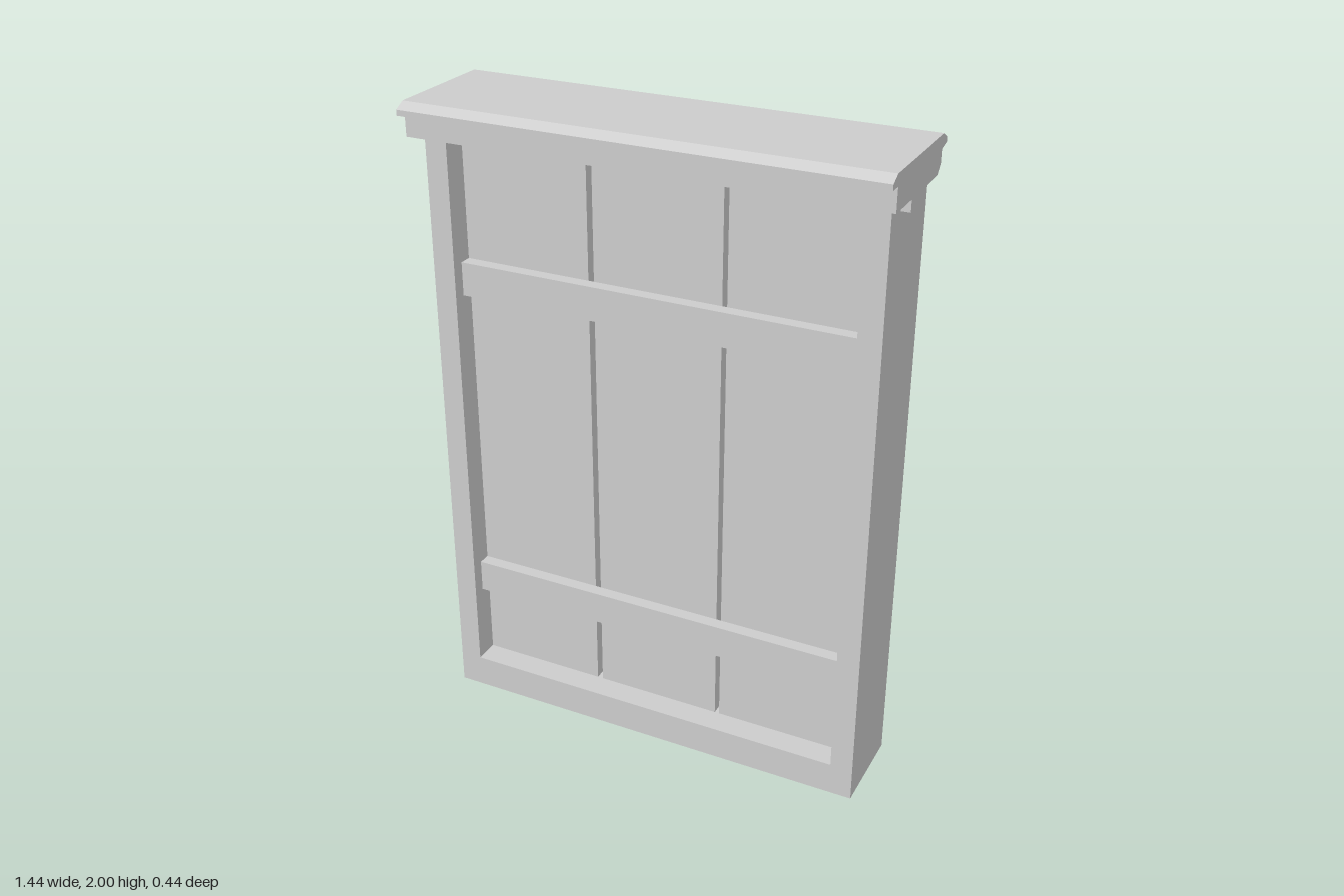
import * as THREE from 'three';

const material = new THREE.MeshStandardMaterial({ color: 0xcccccc, flatShading: true });

function add(parent, name, geometry) {
  const mesh = new THREE.Mesh(geometry, material);
  mesh.name = name;
  parent.add(mesh);
  return mesh;
}

// Box given by its limits on each axis
function box(x0, x1, y0, y1, z0, z1) {
  return new THREE.BoxGeometry(x1 - x0, y1 - y0, z1 - z0)
    .translate((x0 + x1) / 2, (y0 + y1) / 2, (z0 + z1) / 2);
}

function extrude(points, depth) {
  const shape = new THREE.Shape(points.map(([a, b]) => new THREE.Vector2(a, b)));
  return new THREE.ExtrudeGeometry(shape, { depth, bevelEnabled: false });
}

// Profile of [z, y] points run along x, centred
function alongX(profile, length) {
  return extrude(profile.map(([z, y]) => [-z, y]), length)
    .translate(0, 0, -length / 2)
    .rotateY(Math.PI / 2);
}

// Plan of [x, z] points raised along y from the ground
function alongY(plan, height) {
  return extrude(plan.map(([x, z]) => [x, -z]), height).rotateX(-Math.PI / 2);
}

export function createModel() {
  const model = new THREE.Group();
  model.name = 'framedPanel';

  // Side posts: deep outer edge at the back, chamfered inner step
  const post = [
    [0.695, 0.13], [0.695, -0.155], [0.65, -0.155],
    [0.65, -0.08], [0.625, -0.045], [0.625, 0.13],
  ];
  for (const [name, side] of [['leftPost', 1], ['rightPost', -1]]) {
    add(model, name, alongY(post.map(([x, z]) => [x * side, z]), 1.895));
  }

  // Bottom rail with a chamfer on its back top edge
  add(model, 'sill', alongX([
    [0.13, 0], [0.13, 0.105], [-0.04, 0.105], [-0.08, 0.067], [-0.08, 0],
  ], 1.3));

  // Moulded cap with a tongue under it
  add(model, 'cornice', alongX([
    [0.185, 2], [0.218, 1.982], [0.218, 1.965], [0.18, 1.965], [0.18, 1.895],
    [0.06, 1.895], [0.06, 1.86], [-0.053, 1.86], [-0.053, 1.895],
    [-0.155, 1.895], [-0.178, 1.92], [-0.178, 1.96], [-0.218, 1.968],
    [-0.218, 1.982], [-0.185, 2],
  ], 1.444));

  // Three upright boards with narrow open gaps
  const boards = new THREE.Group();
  boards.name = 'boards';
  model.add(boards);
  for (const [x0, x1] of [[-0.63, -0.22], [-0.202, 0.202], [0.217, 0.63]]) {
    add(boards, 'board', box(x0, x1, 0.1, 1.87, -0.01, 0.05));
  }

  // Cross battens on both faces of the boards
  const battens = new THREE.Group();
  battens.name = 'battens';
  model.add(battens);
  for (const [y0, y1] of [[0.355, 0.46], [1.398, 1.503]]) {
    add(battens, 'frontBatten', box(-0.63, 0.63, y0, y1, 0.05, 0.09));
    add(battens, 'backBatten', box(-0.63, 0.63, y0, y1, -0.05, -0.01));
  }

  return model;
}
